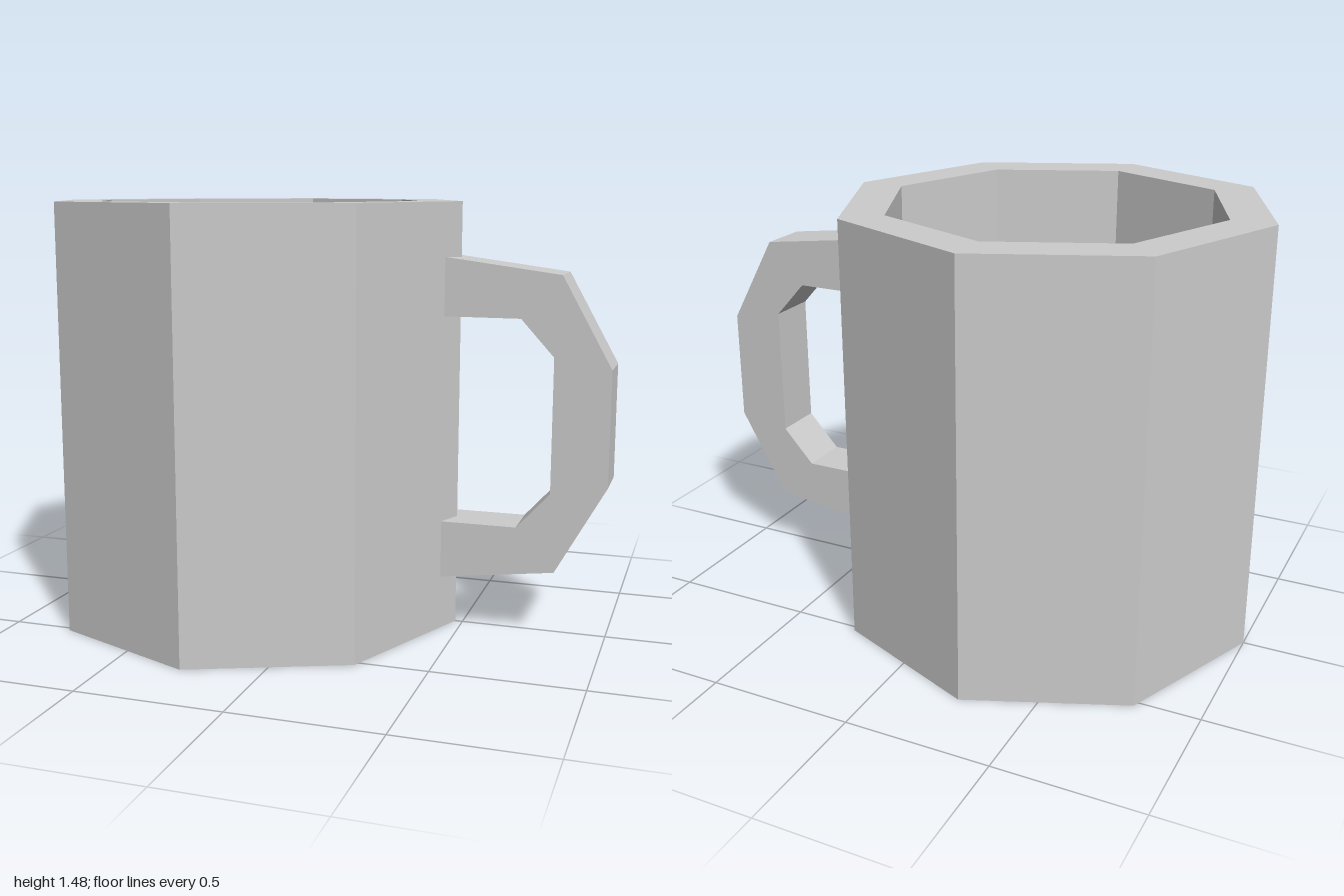
import * as THREE from 'three';

export function createModel() {
  const mug = new THREE.Group();
  mug.name = 'mug';
  const material = new THREE.MeshStandardMaterial({ color: 0xcccccc, flatShading: true });
  const vec = ([x, y]) => new THREE.Vector2(x, y);

  // Eight-sided hollow body: base, outer wall, rim, inner wall, floor
  const profile = [[0, 0], [0.737, 0], [0.737, 1.48], [0.585, 1.48], [0.585, 0.15], [0, 0.15]];
  const body = new THREE.Mesh(new THREE.LatheGeometry(profile.map(vec), 8), material);
  body.name = 'body';
  body.position.x = -0.263;
  mug.add(body);

  // Angular handle: the upper half outline is mirrored about its middle height
  const midY = 0.742, width = 0.18;
  const mirror = (points) => points.map(([x, y]) => [x, 2 * midY - y]).reverse();
  const outer = [[0.438, 1.297], [0.83, 1.245], [1, 0.939]];
  const inner = [[0.81, 0.973], [0.697, 1.098], [0.438, 1.098]];
  const outline = [...outer, ...mirror(outer), ...mirror(inner), ...inner];
  const handle = new THREE.Mesh(
    new THREE.ExtrudeGeometry(new THREE.Shape(outline.map(vec)), { depth: width, bevelEnabled: false }),
    material
  );
  handle.name = 'handle';
  handle.position.z = -width / 2;
  mug.add(handle);

  return mug;
}
